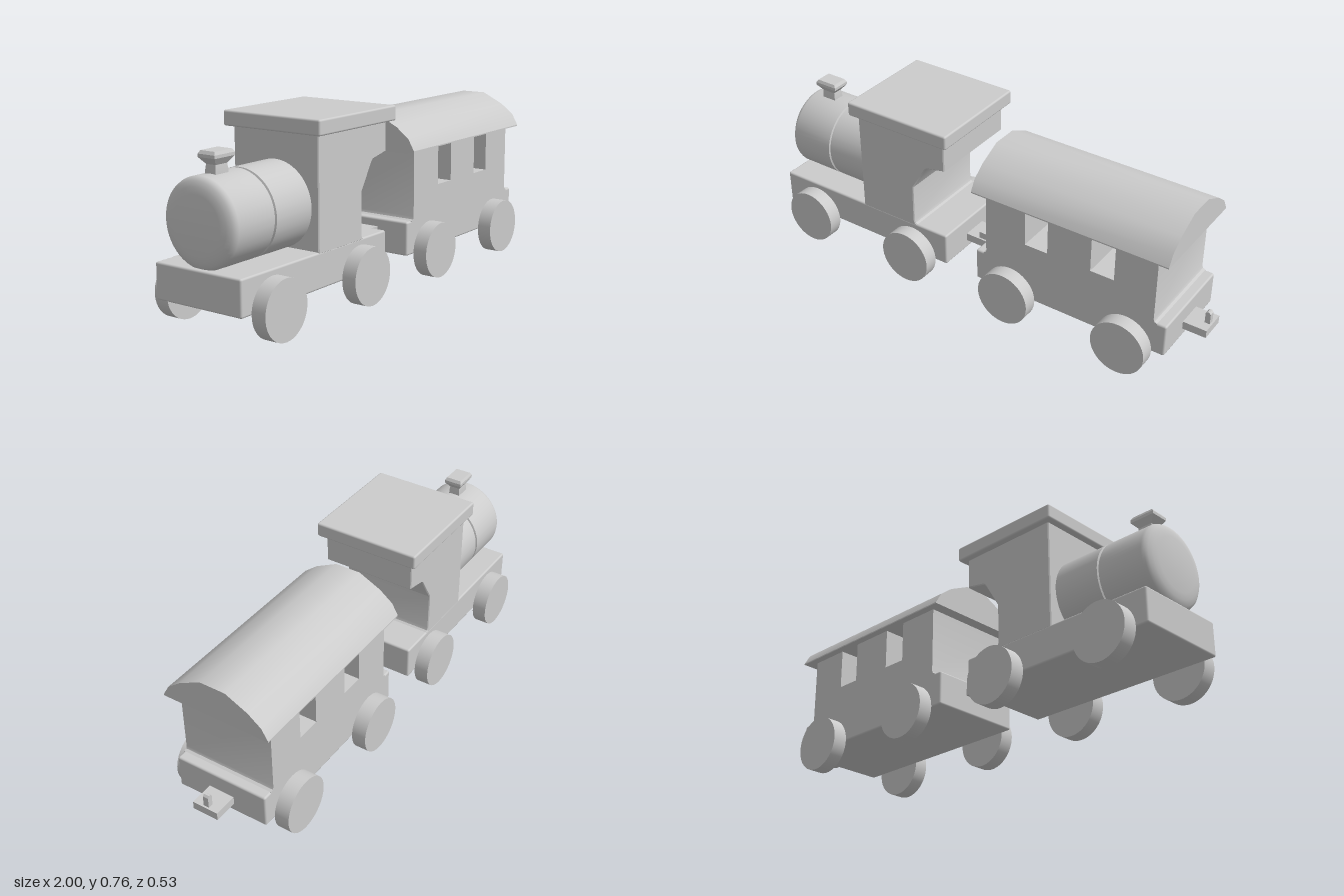
import * as THREE from 'three';
import { toCreasedNormals } from 'three/addons/utils/BufferGeometryUtils.js';
import { RoundedBoxGeometry } from 'three/addons/geometries/RoundedBoxGeometry.js';

const material = new THREE.MeshStandardMaterial({ color: 0xcccccc });
const HALF = 0.203; // half width of the bodies

function add(parent, name, geometry, x = 0, y = 0, z = 0) {
  const mesh = new THREE.Mesh(geometry, material);
  mesh.name = name;
  mesh.position.set(x, y, z);
  parent.add(mesh);
  return mesh;
}

// Box with softened edges, given by its limits in x and y and its half depth
function block(parent, name, x0, x1, y0, y1, half, radius = 0.008) {
  const geometry = new RoundedBoxGeometry(x1 - x0, y1 - y0, half * 2, 2, radius);
  return add(parent, name, geometry, (x0 + x1) / 2, (y0 + y1) / 2);
}

function plate(parent, name, x0, x1, y0, y1, half) {
  return add(parent, name, new THREE.BoxGeometry(x1 - x0, y1 - y0, half * 2), (x0 + x1) / 2, (y0 + y1) / 2);
}

const shapeOf = (points) => new THREE.Shape(points.map(([x, y]) => new THREE.Vector2(x, y)));

// Side profile pushed across the full width
function slab(points, half, bevel = 0) {
  const geometry = new THREE.ExtrudeGeometry(shapeOf(points), {
    depth: 2 * (half - bevel), bevelEnabled: bevel > 0, bevelSize: bevel,
    bevelThickness: bevel, bevelOffset: -bevel, bevelSegments: 1,
  });
  geometry.translate(0, 0, bevel - half);
  return toCreasedNormals(geometry, 0.5);
}

function wheels(parent, centres) {
  const geometry = new THREE.CylinderGeometry(0.117, 0.117, 0.062, 48).rotateX(Math.PI / 2);
  for (const x of centres)
    for (const side of [1, -1])
      add(parent, side > 0 ? 'leftWheel' : 'rightWheel', geometry, x, 0.117, side * 0.234);
}

// Rear coupling plate with a pointed upright pin
function hitch(parent, x) {
  plate(parent, 'hitchPlate', x - 0.01, x + 0.1, 0.153, 0.187, 0.056);
  const pin = slab([[-0.011, 0.18], [0.011, 0.18], [0.011, 0.232], [0.004, 0.24], [-0.004, 0.24], [-0.011, 0.232]], 0.012);
  add(parent, 'hitchPin', pin, x + 0.081);
}

function buildLocomotive() {
  const group = new THREE.Group();
  group.name = 'locomotive';
  block(group, 'locomotiveBase', -1, -0.127, 0.116, 0.258, HALF);

  // Cab, cut away at the rear
  add(group, 'cab', slab([
    [-0.562, 0.25], [-0.277, 0.25], [-0.277, 0.258], [-0.286, 0.263], [-0.29, 0.275],
    [-0.29, 0.44], [-0.225, 0.548], [-0.215, 0.558], [-0.127, 0.576], [-0.127, 0.705], [-0.562, 0.705],
  ], HALF, 0.004));
  block(group, 'cabRoof', -0.59, -0.097, 0.698, 0.759, 0.231);

  // Boiler with a groove round the middle and a rounded nose
  const profile = [
    [0.17, -0.01], [0.17, 0.203], [0.163, 0.206], [0.163, 0.213], [0.17, 0.216],
    [0.17, 0.405], [0.166, 0.416], [0.155, 0.426], [0.135, 0.434], [0.11, 0.439], [0, 0.441],
  ].map(([r, h]) => new THREE.Vector2(r, h));
  const boiler = toCreasedNormals(new THREE.LatheGeometry(profile, 64), 0.6);
  boiler.rotateZ(Math.PI / 2);
  add(group, 'boiler', boiler, -0.559, 0.42);

  // Four-sided flared chimney
  const rings = [[0.033, 0.57], [0.033, 0.6], [0.03, 0.622], [0.053, 0.648], [0.053, 0.66], [0.045, 0.672], [0, 0.672]]
    .map(([r, h]) => new THREE.Vector2(r * Math.SQRT2, h));
  const chimney = new THREE.LatheGeometry(rings, 4).rotateY(Math.PI / 4).scale(1, 1, 0.75);
  add(group, 'chimney', toCreasedNormals(chimney, 0.2), -0.884);

  wheels(group, [-0.83, -0.302]);
  hitch(group, -0.126);
  return group;
}

function buildCarriage() {
  const group = new THREE.Group();
  group.name = 'carriage';
  block(group, 'carriageBase', 0.027, 0.897, 0.116, 0.258, HALF);

  // Solid body with two window slots open up to the roof
  const outline = [[0.062, 0.25], [0.857, 0.25], [0.857, 0.258], [0.846, 0.263], [0.842, 0.274], [0.842, 0.556]];
  for (const [x0, x1] of [[0.56, 0.664], [0.262, 0.366]])
    outline.push([x1, 0.556], [x1, 0.38], [x0, 0.38], [x0, 0.556]);
  outline.push([0.077, 0.556], [0.077, 0.274], [0.073, 0.263], [0.062, 0.258]);
  add(group, 'carriageBody', slab(outline, HALF));

  // Arched roof running lengthwise
  const arch = [[0.234, 0.552], [0.234, 0.557], [0.207, 0.604], [0.15, 0.648], [0.055, 0.694]];
  const mirrored = arch.map(([z, y]) => [-z, y]).reverse();
  const roof = slab([...arch, ...mirrored], 0.435).rotateY(Math.PI / 2);
  add(group, 'carriageRoof', roof, 0.462);

  // Front coupling plate with a hole for the pin
  const tongue = shapeOf([[-0.06, -0.056], [0.035, -0.056], [0.035, 0.056], [-0.06, 0.056]]);
  const hole = new THREE.Path();
  hole.absarc(-0.043, 0, 0.0155, 0, Math.PI * 2, true);
  tongue.holes.push(hole);
  const tongueGeometry = new THREE.ExtrudeGeometry(tongue, { depth: 0.029, bevelEnabled: false }).rotateX(-Math.PI / 2);
  add(group, 'couplingTongue', tongueGeometry, 0, 0.194);

  wheels(group, [0.195, 0.726]);
  hitch(group, 0.897);
  return group;
}

export function createModel() {
  const model = new THREE.Group();
  model.name = 'toyTrain';
  model.add(buildLocomotive(), buildCarriage());
  return model;
}
